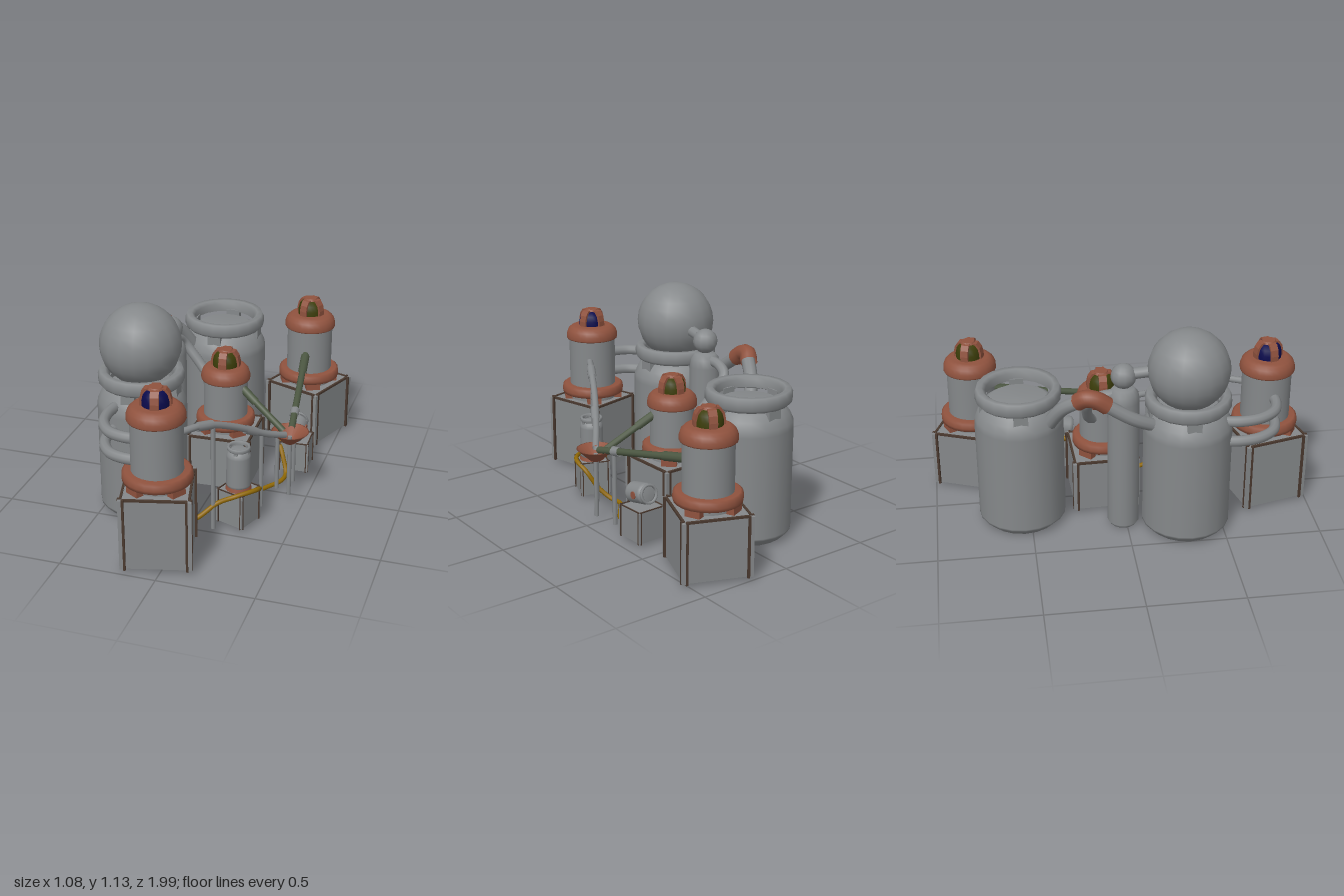
import * as THREE from 'three';

const mat = (name, color, side = THREE.FrontSide) => {
  const m = new THREE.MeshStandardMaterial({ color, side });
  m.name = name;
  return m;
};

export function createModel() {
  const steel = mat('steel grey', 0x85888a, THREE.DoubleSide);
  const copper = mat('copper', 0x8f523e, THREE.DoubleSide);
  const trim = mat('dark brown trim', 0x4a392f);
  const navy = mat('navy glass', 0x0a0a4c);
  const olive = mat('olive glass', 0x3c3d0a);
  const green = mat('green pipe', 0x4c5742);
  const amber = mat('amber hose', 0x8f6806);

  const root = new THREE.Group();
  root.name = 'refinery';

  const add = (parent, name, geo, material, x = 0, y = 0, z = 0) => {
    const m = new THREE.Mesh(geo, material);
    m.name = name;
    m.position.set(x, y, z);
    parent.add(m);
    return m;
  };
  const group = (name, x, y, z, ry = 0) => {
    const g = new THREE.Group();
    g.name = name;
    g.position.set(x, y, z);
    g.rotation.y = ry;
    root.add(g);
    return g;
  };
  const box = (w, h, d) => new THREE.BoxGeometry(w, h, d);
  const lathe = (pts, seg = 20) => new THREE.LatheGeometry(pts.map(p => new THREE.Vector2(p[0], p[1])), seg);
  const pipe = (name, pts, r, material, parent = root) => {
    const curve = new THREE.CatmullRomCurve3(pts.map(p => new THREE.Vector3(...p)), false, 'centripetal');
    return add(parent, name, new THREE.TubeGeometry(curve, pts.length * 6, r, 10), material);
  };
  // Repeat a part at four quarter turns
  const quarters = (parent, offset, build) => {
    for (let i = 0; i < 4; i++) {
      const g = new THREE.Group();
      g.name = 'quarter';
      g.rotation.y = offset + i * Math.PI / 2;
      parent.add(g);
      build(g);
    }
  };

  // Open-bottomed panelled crate with trimmed corners
  function crate(parent, w, y0, y1) {
    const h = y1 - y0, my = (y0 + y1) / 2, t = w * 0.035;
    add(parent, 'crateTop', box(w, t, w), steel, 0, y1 - t / 2 - 0.006, 0);
    quarters(parent, 0, g => {
      add(g, 'cratePanel', box(w - t, h - 0.01, t), steel, 0, my, w / 2 - t / 2);
      add(g, 'topTrim', box(w * 0.92, t, t), trim, 0, y1 - t / 2, w / 2 - t * 0.3);
      for (const s of [-1, 1])
        add(g, 'edgeTrim', box(t, h, t * 1.4), trim, s * w * 0.455, my, w / 2 + t * 0.3);
      add(g, 'cornerPost', box(t * 1.6, h - 0.01, t * 1.6), steel, w / 2, my, w / 2);
    });
  }

  // Rounded vessel with a raised collar ring on four brackets
  function vessel(parent, r, h) {
    const b = r * 0.17;
    add(parent, 'vesselBody', lathe([
      [0, 0], [r * 0.83, 0], [r * 0.84, 0.001], [r, b], [r, b + 0.01], [r, h * 0.75], [r * 0.985, h * 0.79],
      [r * 0.91, h * 0.84], [r * 0.8, h * 0.88], [r * 0.64, h * 0.91], [0, h * 0.915]]), steel);
    add(parent, 'collarRing', lathe([
      [r * 0.72, h * 0.925], [r * 0.9, h * 0.905], [r * 0.96, h * 0.925], [r * 0.965, h * 0.97],
      [r * 0.92, h], [r * 0.8, h], [r * 0.72, h * 0.98], [r * 0.72, h * 0.925]]), steel);
    quarters(parent, 0, g =>
      add(g, 'collarBracket', box(r * 0.32, h * 0.1, r * 0.2), steel, 0, h * 0.89, r * 0.78));
  }

  // Boiler: crate, copper base ring, drum, copper cap and ribbed glass crown
  function boiler(name, x, z, ry, boxTop, drumTop, k, glass) {
    const g = group(name, x, 0, z, ry);
    crate(g, 0.335, 0.015, boxTop);
    const b = boxTop;
    add(g, 'baseRing', lathe([
      [0.12 * k, b + 0.04], [0.155 * k, b + 0.028], [0.172 * k, b + 0.032], [0.175 * k, b + 0.05],
      [0.172 * k, b + 0.076], [0.16 * k, b + 0.084], [0.12 * k, b + 0.084]], 24), copper);
    quarters(g, Math.PI / 4, q =>
      add(q, 'baseFoot', box(0.08, 0.05, 0.045), copper, 0, b + 0.02, 0.14 * k));
    add(g, 'drum', new THREE.CylinderGeometry(0.13 * k, 0.13 * k, drumTop - b, 24), steel, 0, (drumTop + b) / 2, 0);
    add(g, 'cap', lathe([
      [0.12 * k, drumTop - 0.003], [0.143 * k, drumTop - 0.002], [0.145 * k, drumTop + 0.004],
      [0.144 * k, drumTop + 0.025], [0.136 * k, drumTop + 0.048], [0.12 * k, drumTop + 0.064],
      [0.1 * k, drumTop + 0.073], [0, drumTop + 0.074]], 24), copper);
    const crown = [[0.07, 0], [0.07, 0.025], [0.063, 0.055], [0.047, 0.078], [0, 0.084]];
    add(g, 'crownGlass', lathe(crown, 16), glass, 0, drumTop + 0.073, 0);
    // Curved ribs swept across the crown as narrow extruded bands
    const s = new THREE.Shape();
    s.moveTo(0, 0);
    crown.forEach(p => s.lineTo(p[0] * 1.1, p[1] * 1.09));
    s.closePath();
    const rib = new THREE.ExtrudeGeometry(s, { depth: 0.042, bevelEnabled: false });
    rib.translate(0, 0, -0.021);
    quarters(g, 0, q => add(q, 'crownRib', rib, copper, 0, drumTop + 0.073, 0));
    add(g, 'crownButton', new THREE.CylinderGeometry(0.034, 0.042, 0.012, 12), copper, 0, drumTop + 0.159, 0);
    return g;
  }
  boiler('frontBoiler', -0.06, 0.775, 0.25, 0.405, 0.76, 1, navy);
  boiler('middleBoiler', 0.015, -0.095, 0.03, 0.31, 0.6, 0.91, olive);
  boiler('rearBoiler', 0.31, -0.775, -0.37, 0.335, 0.672, 0.98, olive);

  // Large storage vessels, one carrying a ball
  vessel(group('rearVessel', -0.13, 0, -0.54), 0.23, 0.785);
  const ballVessel = group('ballVessel', -0.31, 0, 0.31);
  vessel(ballVessel, 0.23, 0.785);
  add(ballVessel, 'ball', new THREE.SphereGeometry(0.21, 18, 14), steel, 0, 0.918, 0);

  // Slim column with a small ball on top
  const column = group('column', -0.265, 0, -0.015);
  add(column, 'columnBody', lathe([
    [0, 0], [0.07, 0], [0.083, 0.02], [0.083, 0.74], [0.075, 0.785], [0.055, 0.81], [0, 0.82]], 16), steel);
  add(column, 'columnBall', new THREE.SphereGeometry(0.066, 12, 10), steel, 0, 0.877, 0);

  // Grey connecting pipes
  for (const y of [0.64, 0.525])
    pipe('sidePipe', [[-0.38, y, 0.48], [-0.39, y, 0.58], [-0.37, y, 0.68], [-0.31, y, 0.76],
      [-0.23, y, 0.79], [-0.14, y, 0.79]], 0.028, steel);
  pipe('ballPipe', [[-0.265, 0.885, 0], [-0.28, 0.905, 0.15]], 0.03, steel);
  pipe('columnPipe', [[-0.265, 0.78, -0.03], [-0.27, 0.77, -0.13], [-0.255, 0.73, -0.19],
    [-0.19, 0.65, -0.195], [-0.1, 0.55, -0.17], [-0.05, 0.52, -0.13]], 0.028, steel);
  pipe('vesselPipeFront', [[-0.37, 0.64, 0.13], [-0.4, 0.7, 0.02], [-0.4, 0.79, -0.12]], 0.034, steel);
  pipe('vesselPipeRear', [[-0.375, 0.81, -0.24], [-0.32, 0.74, -0.33], [-0.24, 0.58, -0.42]], 0.036, steel);
  pipe('copperElbow', [[-0.4, 0.785, -0.11], [-0.4, 0.825, -0.17], [-0.39, 0.83, -0.22], [-0.365, 0.8, -0.26]], 0.045, copper);

  // Funnel with feed pipes
  const funnel = group('funnel', 0.41, 0, 0.04);
  add(funnel, 'funnelCone', lathe([[0.018, 0.33], [0.03, 0.335], [0.1, 0.4], [0.094, 0.4], [0.018, 0.345]], 20), copper);
  pipe('frontFeed', [[0.02, 0.645, 0.68], [0.1, 0.63, 0.54], [0.2, 0.55, 0.36], [0.32, 0.435, 0.17], [0.39, 0.39, 0.07]], 0.018, steel);
  pipe('frontFeedSleeve', [[0.075, 0.638, 0.585], [0.125, 0.617, 0.495]], 0.024, steel);
  pipe('frontFeedJoint', [[0.24, 0.512, 0.3], [0.28, 0.473, 0.235]], 0.023, steel);
  pipe('middleFeed', [[0.09, 0.575, -0.08], [0.37, 0.385, 0.02]], 0.018, green);
  pipe('middleFeedSleeve', [[0.12, 0.555, -0.07], [0.2, 0.5, -0.04]], 0.023, green);
  pipe('rearFeed', [[0.315, 0.54, -0.67], [0.41, 0.4, 0.01]], 0.018, green);
  pipe('rearFeedSleeve', [[0.32, 0.533, -0.635], [0.343, 0.5, -0.47]], 0.024, green);
  pipe('rearFeedJoint', [[0.388, 0.433, -0.15], [0.395, 0.422, -0.1]], 0.024, steel);

  // Support posts: x, z, height
  for (const [x, z, h] of [[0.13, 0.49, 0.61], [0.3, 0.2, 0.45], [0.41, 0.04, 0.37], [0.33, -0.01, 0.41], [0.395, -0.11, 0.42]])
    add(root, 'supportPost', new THREE.CylinderGeometry(0.012, 0.012, h - 0.02, 8), steel, x, h / 2 + 0.01, z);

  // Small crate with upright flask
  const flaskStand = group('flaskStand', 0.225, 0, 0.36, -0.35);
  crate(flaskStand, 0.155, 0.015, 0.208);
  add(flaskStand, 'flaskSeat', new THREE.CylinderGeometry(0.062, 0.068, 0.022, 16), copper, 0, 0.216, 0);
  const flask = group('flask', 0.225, 0.215, 0.36);
  vessel(flask, 0.063, 0.232);

  // Small crate with fallen flask
  crate(group('fallenFlaskStand', 0.36, 0, -0.305, 0.05), 0.16, 0.015, 0.19);
  const fallen = group('fallenFlask', 0.36, 0.235, -0.225, 0);
  fallen.rotation.x = -Math.PI / 2 + 0.22;
  vessel(fallen, 0.055, 0.15);
  const cap = add(fallen, 'flaskPlug', new THREE.CylinderGeometry(0.02, 0.02, 0.008, 10), copper, 0.054, 0.08, 0);
  cap.rotation.z = Math.PI / 2;

  // Amber hose trailing between the crates
  pipe('hose', [[-0.02, 0.08, 0.6], [0.06, 0.1, 0.55], [0.15, 0.165, 0.48], [0.24, 0.205, 0.455],
    [0.32, 0.21, 0.37], [0.315, 0.17, 0.28], [0.27, 0.08, 0.23], [0.23, 0.03, 0.17], [0.22, 0.025, 0.1],
    [0.28, 0.025, 0.01], [0.34, 0.03, -0.08], [0.345, 0.04, -0.15], [0.31, 0.13, -0.2], [0.28, 0.19, -0.25],
    [0.3, 0.215, -0.31]], 0.012, amber);

  return root;
}
